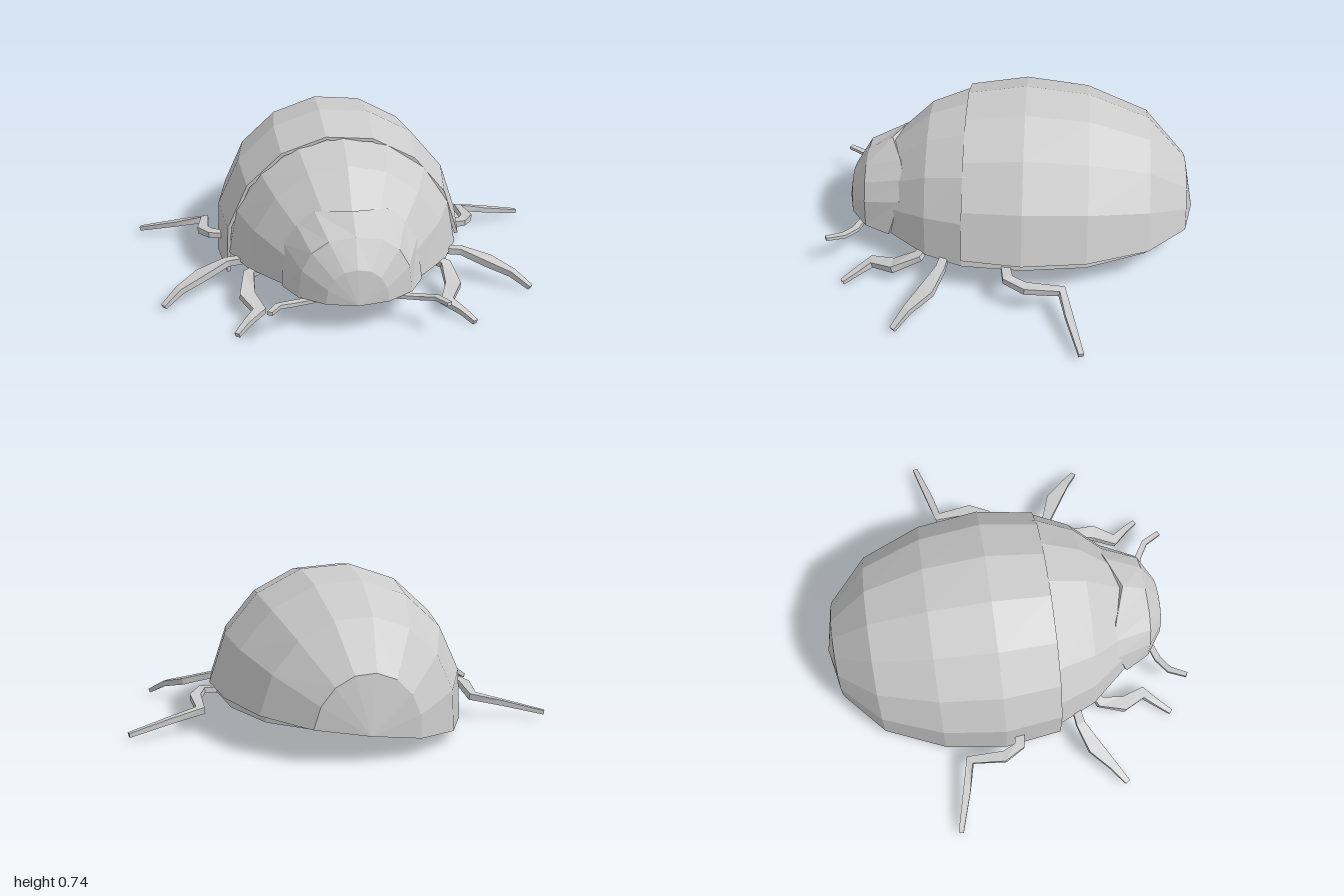
import * as THREE from 'three';

const V = (x, y, z) => new THREE.Vector3(x, y, z);
const SEG = 8; // facets across each dome

// Skin over a row of closed cross-sections, with optional flat end caps
function skin(sections, capped = true) {
  const pos = [];
  const tri = (a, b, c) => {
    const area = b.clone().sub(a).cross(c.clone().sub(a)).length();
    if (area > 1e-7) for (const p of [a, b, c]) pos.push(p.x, p.y, p.z);
  };
  const n = sections[0].length;
  for (let i = 0; i < sections.length - 1; i++) {
    for (let j = 0; j < n; j++) {
      const k = (j + 1) % n, s = sections[i], t = sections[i + 1];
      tri(s[j], s[k], t[j]);
      tri(s[k], t[k], t[j]);
    }
  }
  if (capped) {
    const s = sections[0], e = sections[sections.length - 1];
    for (let k = 1; k < n - 1; k++) {
      tri(s[0], s[k + 1], s[k]);
      tri(e[0], e[k], e[k + 1]);
    }
  }
  const g = new THREE.BufferGeometry();
  g.setAttribute('position', new THREE.Float32BufferAttribute(pos, 3));
  g.computeVertexNormals();
  return g;
}

// Half-oval arch from right to left; e < 1 squares it, sweep shifts the diagonals in z
function arch(z, w, h, base, e = 1, sweep = 0) {
  const pts = [];
  for (let i = 0; i <= SEG; i++) {
    const a = (i / SEG - 0.5) * Math.PI;
    const s = Math.sin(a), c = Math.max(0, Math.cos(a));
    pts.push(V(w * Math.sign(s) * Math.abs(s) ** e, base + h * (c < 1e-6 ? 0 : c ** e),
      z - sweep * Math.abs(Math.sin(2 * a))));
  }
  return pts;
}

// Four-sided limb; each point is [x, y, z, half width, half thickness]
function limb(path, side) {
  const p = path.map(([x, y, z]) => V(x * side, y, z));
  return skin(p.map((c, i) => {
    const d = p[Math.min(i + 1, p.length - 1)].clone().sub(p[Math.max(i - 1, 0)]).normalize();
    const s = d.clone().cross(V(0, 1, 0)).normalize();
    const u = s.clone().cross(d).multiplyScalar(path[i][4]);
    s.multiplyScalar(path[i][3]);
    return [[-1, 1], [1, 1], [1, -1], [-1, -1]].map(([a, b]) =>
      c.clone().addScaledVector(s, a).addScaledVector(u, b));
  }));
}

export function createModel() {
  const model = new THREE.Group();
  model.name = 'beetle';
  const mat = new THREE.MeshStandardMaterial({ color: 0xcccccc, flatShading: true });
  const thinMat = mat.clone();
  thinMat.side = THREE.DoubleSide;
  const add = (name, geometry, material = mat) => {
    const m = new THREE.Mesh(geometry, material);
    m.name = name;
    model.add(m);
    return m;
  };

  // Body with a flat belly
  add('body', skin([
    [0.58, 0.31, 0.33], [0.4, 0.465, 0.49], [0.22, 0.545, 0.555], [-0.06, 0.565, 0.57],
    [-0.36, 0.53, 0.54], [-0.64, 0.41, 0.42], [-0.8, 0.22, 0.23], [-0.85, 0, 0],
  ].map(([z, w, h]) => arch(z, w, h, 0.14))));

  // Head, its rear edge standing a little proud of the body
  add('head', skin([
    arch(0.82, 0, 0, 0.14),
    arch(0.79, 0.14, 0.16, 0.14, 0.9),
    arch(0.71, 0.255, 0.28, 0.14, 0.8),
    arch(0.59, 0.32, 0.35, 0.14, 0.7, 0.08),
    arch(0.57, 0.29, 0.32, 0.14, 0.7, 0.08),
  ]));

  // Wing case: a thin dome, open in front and below, rolled to one side
  const shell = [
    [0.22, 0.565, 0.6, 0], [-0.06, 0.605, 0.64, 0], [-0.36, 0.565, 0.605, 0],
    [-0.65, 0.445, 0.485, 0.005], [-0.84, 0.24, 0.27, 0.01], [-0.89, 0, 0, 0.015],
  ].map(([z, w, h, y]) => [
    ...arch(z, w, h, y),
    ...arch(z < -0.7 ? z + 0.02 : z, w * 0.97, h * 0.975, y).reverse(),
  ]);
  const n = shell[0].length;
  const edge = shell[0].map((p, i) => p.clone().lerp(shell[0][n - 1 - i], 0.5));
  const wingCase = add('wingCase', skin([edge, ...shell], false), thinMat);
  wingCase.position.y = 0.11;
  wingCase.rotation.z = 0.133;

  // Three pairs of legs and a pair of antennae
  const limbs = {
    FrontLeg: [[0.4, 0.14, 0.4, 0.02, 0.015], [0.46, 0.125, 0.43, 0.025, 0.015],
      [0.475, 0.075, 0.55, 0.035, 0.018], [0.425, 0.055, 0.66, 0.028, 0.015],
      [0.485, 0.035, 0.73, 0.016, 0.012], [0.53, 0.012, 0.79, 0.012, 0.01]],
    MiddleLeg: [[0.45, 0.14, 0.3, 0.018, 0.015], [0.56, 0.135, 0.315, 0.022, 0.015],
      [0.68, 0.1, 0.37, 0.036, 0.016], [0.78, 0.07, 0.45, 0.02, 0.014],
      [0.855, 0.02, 0.51, 0.013, 0.01]],
    BackLeg: [[0.45, 0.135, 0.03, 0.018, 0.014], [0.63, 0.14, 0.0, 0.025, 0.014],
      [0.67, 0.125, -0.08, 0.026, 0.016], [0.66, 0.105, -0.25, 0.022, 0.016],
      [0.8, 0.075, -0.285, 0.018, 0.013], [0.995, 0.03, -0.34, 0.012, 0.01]],
    Antenna: [[0.14, 0.13, 0.71, 0.014, 0.008], [0.28, 0.135, 0.755, 0.016, 0.009],
      [0.35, 0.15, 0.8, 0.015, 0.009], [0.39, 0.16, 0.88, 0.012, 0.008]],
  };
  for (const [name, path] of Object.entries(limbs)) {
    add('left' + name, limb(path, 1));
    add('right' + name, limb(path, -1));
  }
  return model;
}
